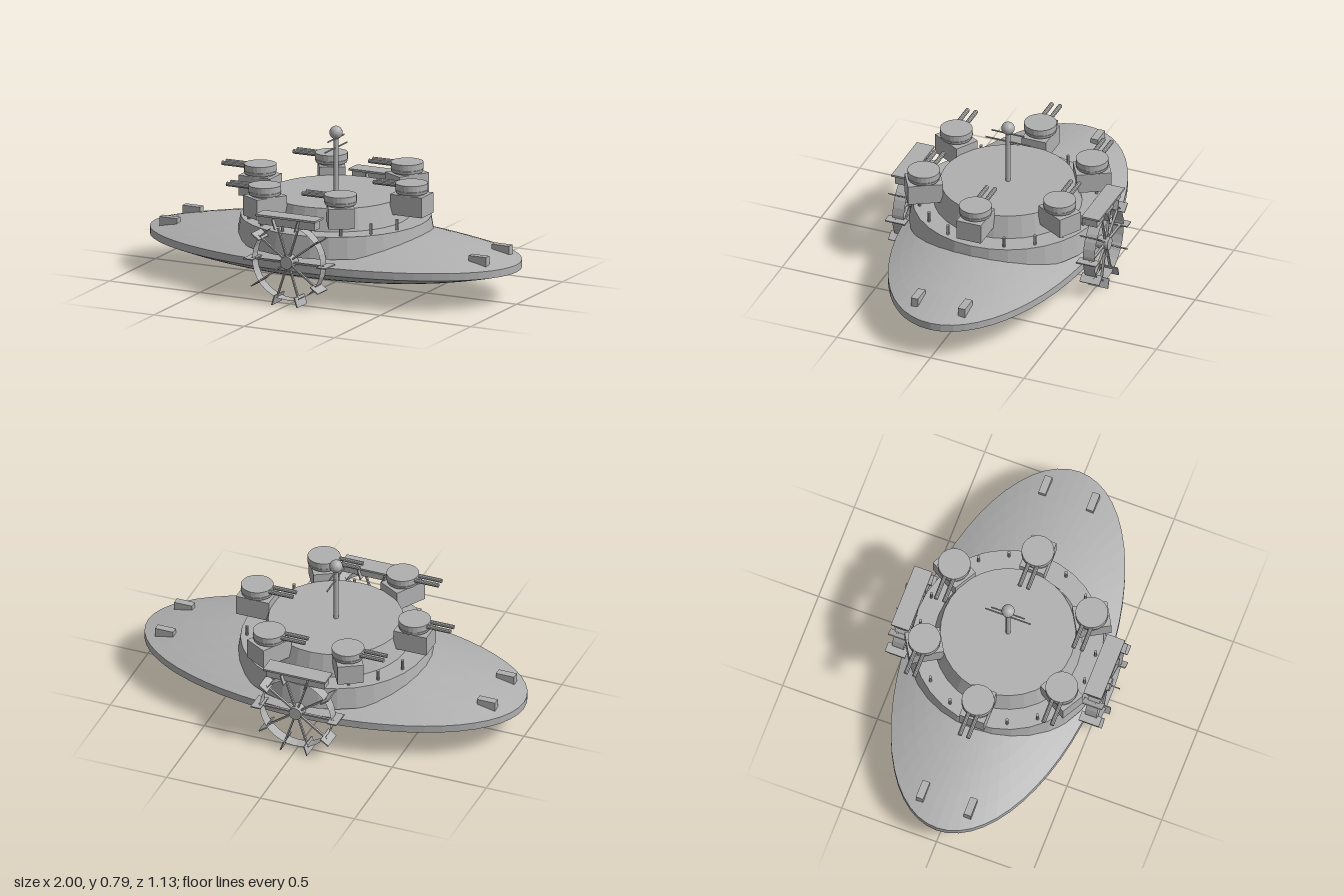
import * as THREE from 'three';

const grey = new THREE.MeshStandardMaterial({ color: 0xb0b0b0, flatShading: true, side: THREE.DoubleSide });
grey.name = 'armour grey';

function add(parent, name, geometry, x = 0, y = 0, z = 0) {
  const mesh = new THREE.Mesh(geometry, grey);
  mesh.name = name;
  mesh.position.set(x, y, z);
  parent.add(mesh);
  return mesh;
}
const box = (w, h, d) => new THREE.BoxGeometry(w, h, d);
const cyl = (top, bottom, h, n = 24) => new THREE.CylinderGeometry(top, bottom, h, n);

// Elliptical lens-shaped hull with a flat rim band
function hull(parent) {
  const points = [];
  for (let i = 0; i <= 12; i++) {
    const r = Math.sin((i / 12) * Math.PI / 2);
    points.push(new THREE.Vector2(r, 0.165 - 0.107 * (1 - r ** 2.5)));
  }
  for (let i = 0; i <= 10; i++) {
    const r = 1 - i / 10;
    points.push(new THREE.Vector2(r, 0.203 + 0.12 * (1 - r * r)));
  }
  add(parent, 'hull', new THREE.LatheGeometry(points, 56)).scale.z = 0.49;

  // Four wedge blocks near the hull ends
  for (const sx of [-1, 1]) for (const sz of [-1, 1]) {
    const block = box(0.096, 0.06, 0.038);
    add(parent, 'deckBlock', block, sx * 0.856, 0.232, sz * 0.126);
  }
}

// Lower casemate, upper drum and the posts around the gallery
function superstructure(parent) {
  add(parent, 'casemate', cyl(0.472, 0.49, 0.11, 32), 0, 0.293, 0);
  add(parent, 'upperDrum', cyl(0.335, 0.367, 0.112, 32), 0, 0.403, 0);
  for (let i = 0; i < 18; i++) {
    if (i % 9 === 0) continue;
    const a = i * Math.PI / 9;
    add(parent, 'galleryPost', cyl(0.008, 0.008, 0.056, 8), 0.44 * Math.cos(a), 0.373, 0.44 * Math.sin(a));
  }
}

// Sponson with a twin-gun turret, all guns aimed along -x
function turret(parent, angle) {
  const group = new THREE.Group();
  group.name = 'turret';
  group.position.set(0.419 * Math.cos(angle), 0, 0.419 * Math.sin(angle));
  add(group, 'sponson', box(0.175, 0.103, 0.13), 0, 0.449, 0).rotation.y = -angle;
  add(group, 'turretBase', cyl(0.068, 0.068, 0.025), 0, 0.505, 0);
  add(group, 'turretRing', cyl(0.082, 0.078, 0.016), 0, 0.515, 0);
  add(group, 'turretDrum', cyl(0.081, 0.081, 0.031), 0, 0.5395, 0);
  for (const z of [-0.022, 0.022]) {
    add(group, 'gunBarrel', cyl(0.011, 0.011, 0.16, 10), -0.12, 0.54, z).rotation.z = Math.PI / 2;
  }
  parent.add(group);
}

// Mast with two cross bars and a ball on top
function mast(parent) {
  add(parent, 'mastPole', cyl(0.012, 0.012, 0.28, 12), 0, 0.595, 0);
  add(parent, 'mastBall', new THREE.SphereGeometry(0.033, 18, 12), 0, 0.762, 0);
  for (const [y, length] of [[0.685, 0.24], [0.732, 0.176]]) {
    add(parent, 'crossBar', cyl(0.004, 0.004, length, 8), 0, y, 0).rotation.x = Math.PI / 2;
  }
}

// Paddle wheel with ten spokes and blades, under a narrow guard
function paddleWheel(parent, turn) {
  const group = new THREE.Group();
  group.name = 'paddleWheel';
  group.rotation.y = turn;
  const rim = new THREE.CylinderGeometry(0.19, 0.19, 0.062, 30, 1, true);
  add(group, 'wheelRim', rim, 0, 0.22, 0.509).rotation.x = Math.PI / 2;
  add(group, 'wheelHub', cyl(0.033, 0.033, 0.07, 16), 0, 0.22, 0.509).rotation.x = Math.PI / 2;
  add(group, 'wheelAxle', cyl(0.016, 0.016, 0.14, 12), 0, 0.22, 0.44).rotation.x = Math.PI / 2;
  for (let i = 0; i < 10; i++) {
    const arm = new THREE.Group();
    arm.name = 'wheelArm';
    arm.position.set(0, 0.22, 0.511);
    arm.rotation.z = i * Math.PI / 5;
    add(arm, 'spoke', box(0.2, 0.008, 0.012), 0.1, 0, 0.012);
    add(arm, 'blade', box(0.052, 0.006, 0.106), 0.202, 0, 0);
    group.add(arm);
  }
  add(group, 'guardPlate', box(0.33, 0.01, 0.095), 0, 0.448, 0.508);
  add(group, 'guardBody', box(0.31, 0.043, 0.062), 0, 0.422, 0.509);
  parent.add(group);
}

export function createModel() {
  const model = new THREE.Group();
  model.name = 'paddleFortress';
  hull(model);
  superstructure(model);
  for (let i = 0; i < 6; i++) turret(model, i * Math.PI / 3);
  mast(model);
  paddleWheel(model, 0);
  paddleWheel(model, Math.PI);
  return model;
}
